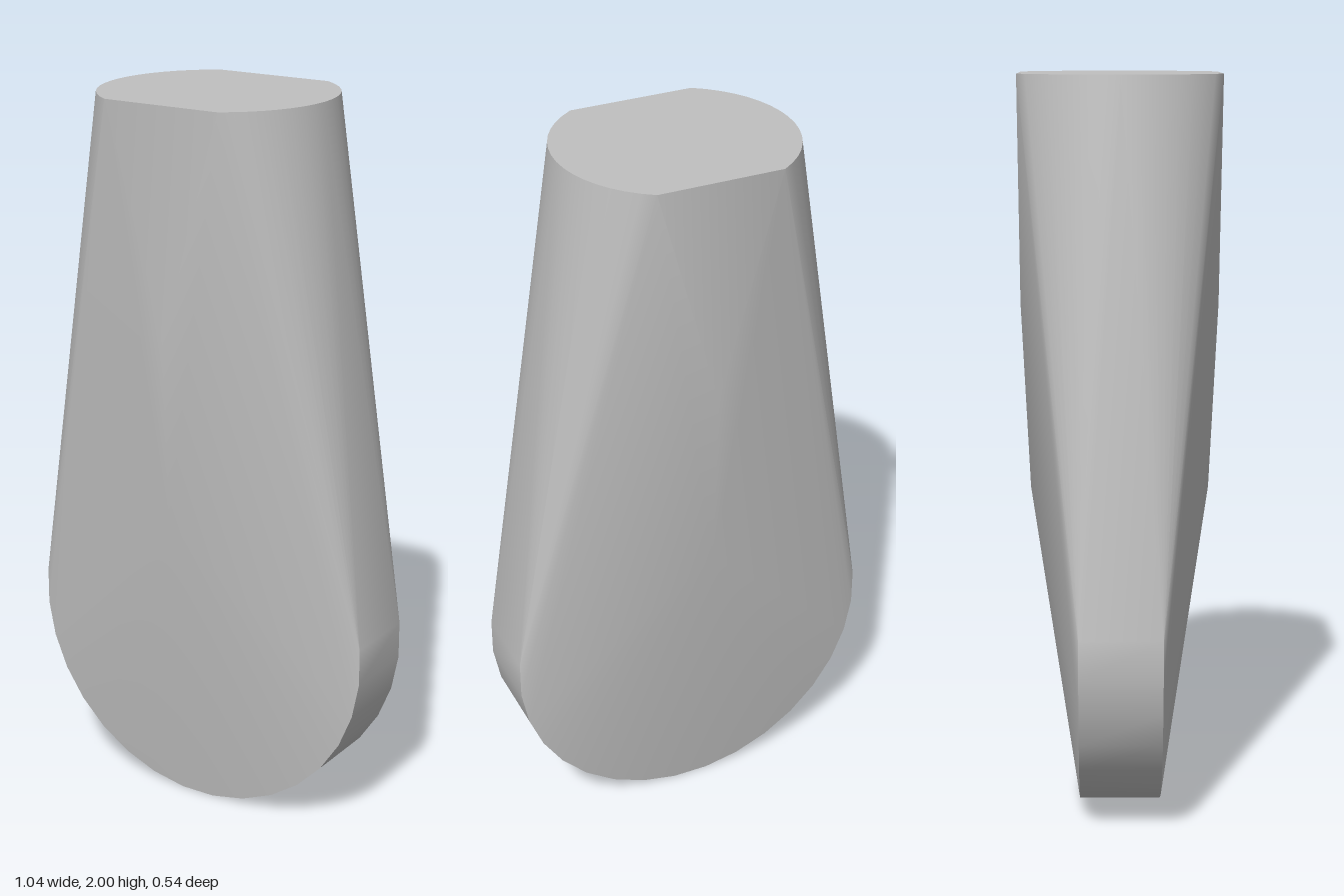
import * as THREE from 'three';
import { ConvexGeometry } from 'three/addons/geometries/ConvexGeometry.js';
import { toCreasedNormals } from 'three/addons/utils/BufferGeometryUtils.js';

const R = 0.52, HALF_RIM = 0.11;          // rounded foot
const TOP_R = 0.32, TOP_HALF = 0.27;      // flattened round top
const HEIGHT = 2;

export function createModel() {
  const group = new THREE.Group();
  group.name = 'taperedHandle';
  const grey = new THREE.MeshStandardMaterial({ color: 0xc0c0c0 });
  grey.name = 'lightGrey';

  const points = [];
  const add = (x, y, z) => points.push(new THREE.Vector3(x, y, z));

  // Lower half of a 32-sided disc, standing upright, on both faces
  const rimR = R / Math.cos(Math.PI / 32);
  for (let i = 0; i <= 17; i++) {
    const a = Math.PI + (i - 0.5) * Math.PI / 16;
    for (const s of [1, -1]) add(rimR * Math.cos(a), R + R * Math.sin(a) / Math.cos(Math.PI / 32), s * HALF_RIM);
  }

  // Top outline: circular ends cut by flat front and back
  const cut = Math.asin(TOP_HALF / TOP_R);
  for (let i = 0; i <= 16; i++) {
    const a = -cut + 2 * cut * i / 16;
    for (const s of [1, -1]) add(s * TOP_R * Math.cos(a), HEIGHT, TOP_R * Math.sin(a));
  }

  // Swelling along the middle of the front and back
  for (const s of [1, -1]) {
    add(0, 0.87, s * 0.245);
    add(0, 1.38, s * TOP_HALF);
  }

  const body = new THREE.Mesh(toCreasedNormals(new ConvexGeometry(points), 0.55), grey);
  body.name = 'body';
  group.add(body);
  return group;
}
